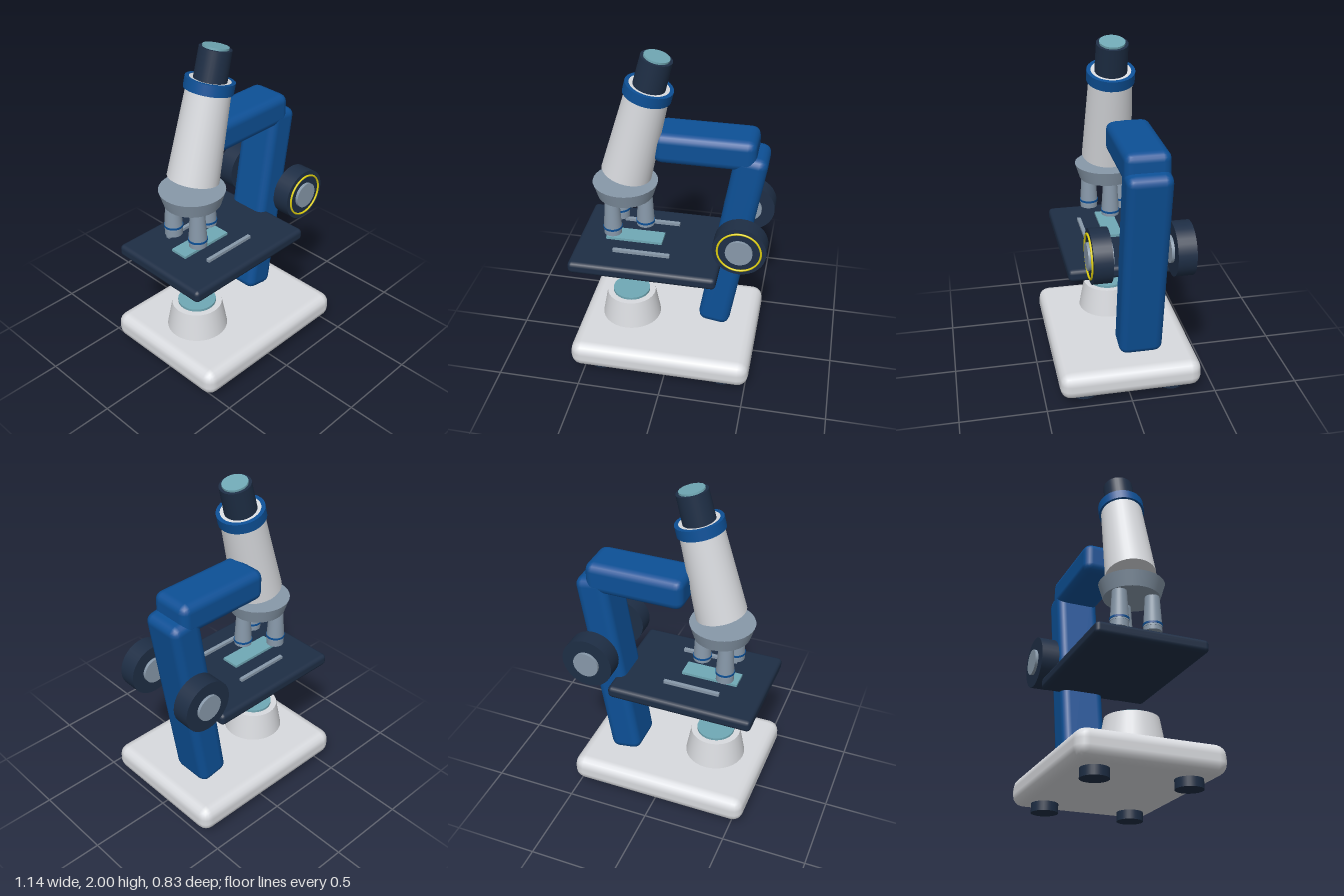
import * as THREE from 'three';
import { RoundedBoxGeometry } from 'three/addons/geometries/RoundedBoxGeometry.js';

const mat = (color) => new THREE.MeshStandardMaterial({ color });

export function createModel() {
  const model = new THREE.Group();
  model.name = 'microscope';
  const white = mat(0xd8dade), navy = mat(0x1e2e45), blue = mat(0x0d5096);
  const metal = mat(0x8798a9), glass = mat(0x70a8b5), yellow = mat(0xe0d010);

  const add = (parent, name, geometry, material, x = 0, y = 0, z = 0) => {
    const mesh = new THREE.Mesh(geometry, material);
    mesh.name = name;
    mesh.position.set(x, y, z);
    parent.add(mesh);
    return mesh;
  };
  const group = (name, x, y, z, parent = model) => {
    const g = new THREE.Group();
    g.name = name;
    g.position.set(x, y, z);
    parent.add(g);
    return g;
  };
  // Upright disc or cone between heights y0 and y1
  const disc = (parent, name, material, rTop, rBottom, y0, y1, x = 0, z = 0) =>
    add(parent, name, new THREE.CylinderGeometry(rTop, rBottom, y1 - y0, 32),
      material, x, (y0 + y1) / 2, z);
  const block = (name, material, w, h, d, r, x, y, z) =>
    add(model, name, new RoundedBoxGeometry(w, h, d, 2, r), material, x, y, z);

  // Base and feet
  block('base', white, 1.095, 0.164, 0.835, 0.065, -0.027, 0.135, 0);
  for (const x of [-0.402, 0.354])
    for (const z of [-0.262, 0.262])
      disc(model, 'foot', navy, 0.077, 0.077, 0, 0.06, x, z);

  // Lamp on the base
  disc(model, 'lampHousing', white, 0.15, 0.183, 0.21, 0.387, -0.27);
  disc(model, 'lampLens', glass, 0.114, 0.114, 0.38, 0.402, -0.27);

  // Arm: leaning upright and horizontal top
  block('armUpright', blue, 0.193, 1.215, 0.26, 0.05, 0.345, 0.82, -0.087).rotation.z = -0.16;
  block('armTop', blue, 0.586, 0.187, 0.26, 0.05, 0.172, 1.428, -0.087);

  // Stage with slide and clips
  block('stage', navy, 0.874, 0.074, 0.656, 0.025, -0.137, 0.747, 0);
  add(model, 'slide', new THREE.BoxGeometry(0.34, 0.016, 0.11), glass, -0.235, 0.798, 0);
  for (const z of [-0.167, 0.167])
    add(model, 'stageClip', new THREE.BoxGeometry(0.34, 0.018, 0.022), metal, -0.166, 0.8, z);

  // Tilted body tube and eyepiece
  const tube = group('bodyTube', -0.278, 1.25, 0);
  tube.rotation.z = -0.25;
  disc(tube, 'tube', white, 0.122, 0.148, 0, 0.568);
  const ring = new THREE.LatheGeometry([
    [0.115, 0.51], [0.138, 0.51], [0.138, 0.51], [0.138, 0.572], [0.138, 0.572], [0.115, 0.572],
  ].map(([r, y]) => new THREE.Vector2(r, y)), 32);
  add(tube, 'tubeRing', ring, blue);
  disc(tube, 'eyepiece', navy, 0.09, 0.093, 0.56, 0.74);
  disc(tube, 'eyepieceLens', glass, 0.073, 0.073, 0.735, 0.752);

  // Nosepiece with three objectives
  const nose = group('nosepiece', -0.288, 0, 0);
  disc(nose, 'turret', metal, 0.19, 0.163, 1.1, 1.187);
  [0.9, 0.885, 0.87].forEach((bottom, i) => {
    const a = (i * Math.PI * 2) / 3;
    const objective = group('objective', 0.116 * Math.cos(a), 0, 0.116 * Math.sin(a), nose);
    disc(objective, 'barrel', metal, 0.042, 0.054, 0.91, 1.105);
    disc(objective, 'colourBand', blue, 0.056, 0.056, 0.92, 0.932);
    disc(objective, 'tip', metal, 0.052, 0.052, bottom, 0.912);
  });

  // Focus knobs on both sides
  for (const [z, name] of [[0.176, 'frontKnob'], [-0.284, 'backKnob']]) {
    const knob = group(name, 0.415, 0.932, z);
    knob.rotation.x = Math.PI / 2;
    disc(knob, 'grip', navy, 0.155, 0.155, -0.053, 0.053);
    disc(knob, 'hub', metal, 0.078, 0.078, -0.07, 0.07);
    if (z > 0) {
      const band = add(knob, 'markerRing', new THREE.TorusGeometry(0.125, 0.006, 8, 48), yellow, 0, 0.058, 0);
      band.rotation.x = Math.PI / 2;
    }
  }
  return model;
}
